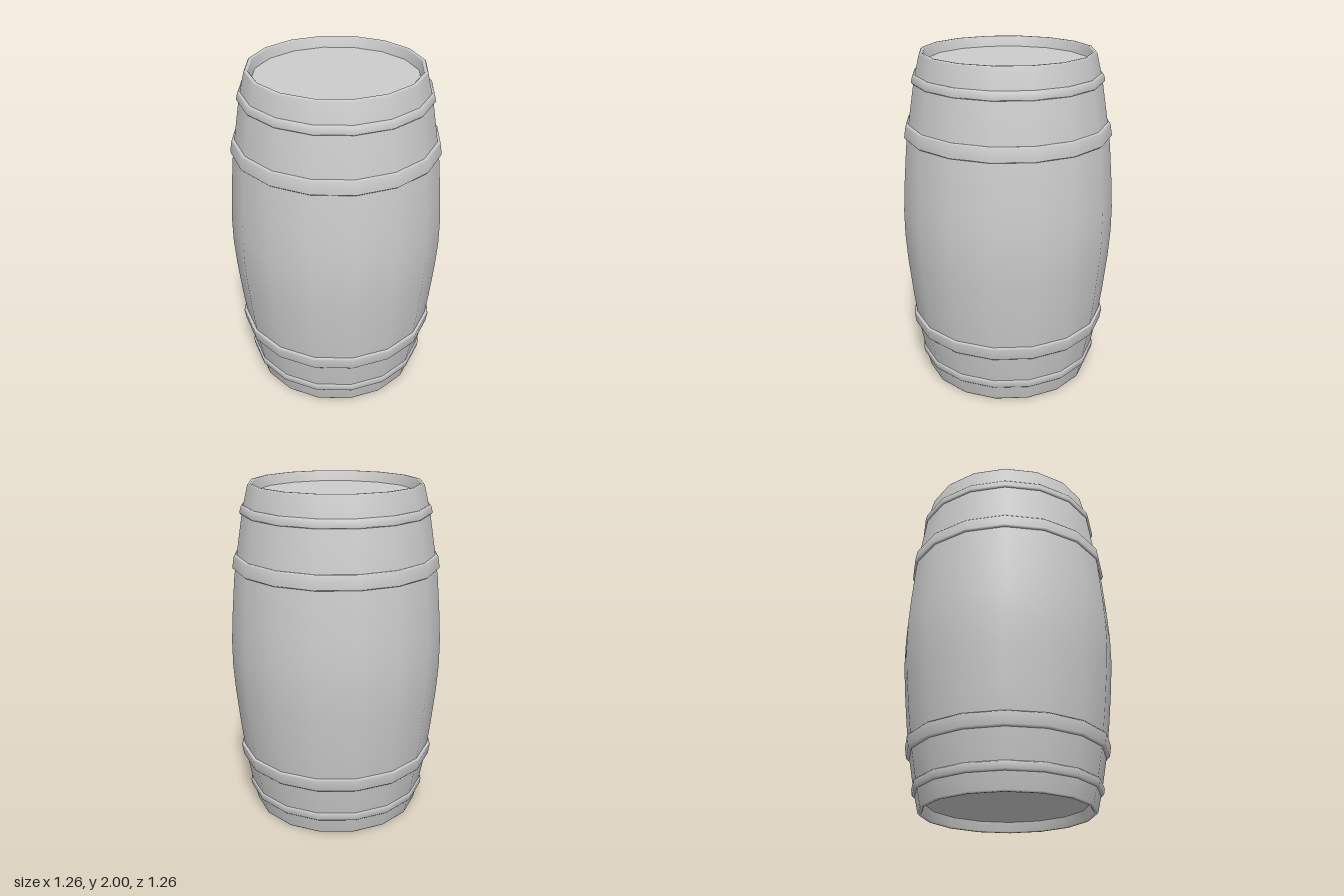
import * as THREE from 'three';

const SIDES = 16;
const material = new THREE.MeshStandardMaterial({ color: 0xcccccc });

// Revolve a [radius, height] profile around the vertical axis
function revolve(name, profile) {
  const points = profile.map(([r, y]) => new THREE.Vector2(r, y));
  const mesh = new THREE.Mesh(new THREE.LatheGeometry(points, SIDES), material);
  mesh.name = name;
  return mesh;
}

// Metal band with softened edges, sunk slightly into the staves
function hoop(name, y0, y1, r0, r1) {
  const b = 0.008, sink = 0.04;
  return revolve(name, [
    [r0 - sink, y0], [r0 - b, y0], [r0, y0 + b],
    [r1, y1 - b], [r1 - b, y1], [r1 - sink, y1],
  ]);
}

// Flat recessed end disc
function head(name, y, up) {
  const mesh = new THREE.Mesh(new THREE.CircleGeometry(0.472, SIDES), material);
  mesh.name = name;
  mesh.rotation.x = up ? -Math.PI / 2 : Math.PI / 2;
  mesh.position.y = y;
  return mesh;
}

export function createModel() {
  const group = new THREE.Group();
  group.name = 'barrel';

  // Bulging staves, with the rims folding inwards at both ends
  group.add(revolve('staves', [
    [0.47, 0.06], [0.482, 0.006], [0.488, 0], [0.5, 0], [0.506, 0.008],
    [0.534, 0.13], [0.572, 0.34], [0.597, 0.54], [0.62, 0.77], [0.63, 0.93],
    [0.63, 1.08], [0.62, 1.24], [0.6, 1.47], [0.576, 1.63], [0.54, 1.85],
    [0.506, 1.992], [0.5, 2], [0.488, 2], [0.482, 1.994], [0.47, 1.94],
  ]));

  group.add(head('topHead', 1.94, true), head('bottomHead', 0.06, false));

  group.add(
    hoop('bottomHoop', 0.1, 0.15, 0.543, 0.549),
    hoop('lowerHoop', 0.32, 0.4, 0.588, 0.598),
    hoop('upperHoop', 1.515, 1.598, 0.609, 0.598),
    hoop('topHoop', 1.83, 1.88, 0.556, 0.548),
  );
  return group;
}
